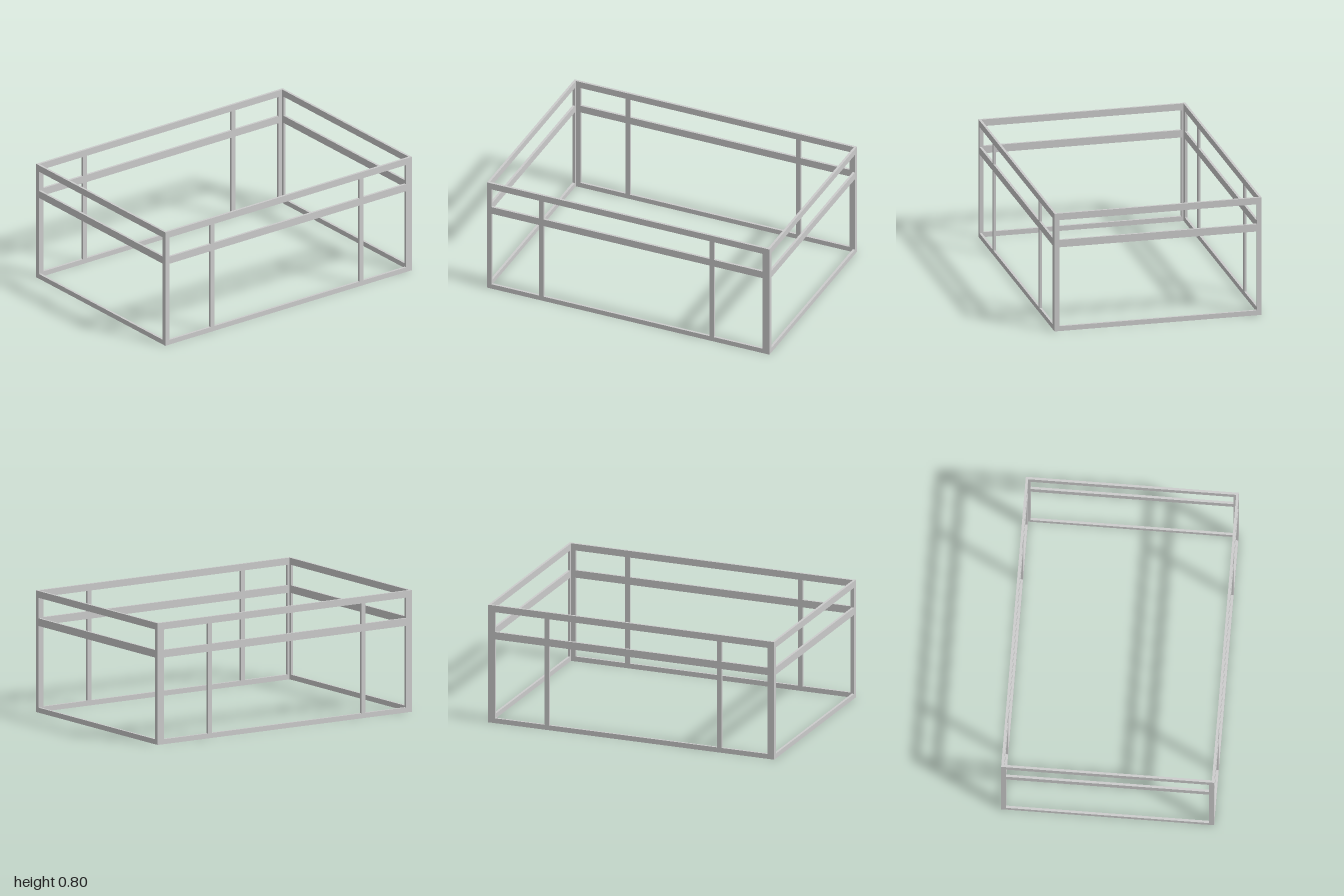
import * as THREE from 'three';

const T = 0.016;                                  // strip thickness
const HALF_X = 0.69, HALF_Z = 1, HEIGHT = 0.8;
const ROWS = [[0.033, 0.57], [0.62, 0.755]];      // openings between the rails

function rectangle(path, x0, x1, y0, y1) {
  path.moveTo(x0, y0);
  path.lineTo(x1, y0);
  path.lineTo(x1, y1);
  path.lineTo(x0, y1);
  path.closePath();
  return path;
}

// Flat frame: rails and uprights remain between a grid of openings
function makeFrame(name, half, columns, material) {
  const shape = rectangle(new THREE.Shape(), -half, half, 0, HEIGHT);
  for (const [x0, x1] of columns)
    for (const [y0, y1] of ROWS)
      shape.holes.push(rectangle(new THREE.Path(), x0, x1, y0, y1));
  const geometry = new THREE.ExtrudeGeometry(shape, { depth: T, bevelEnabled: false });
  const mesh = new THREE.Mesh(geometry, material);
  mesh.name = name;
  return mesh;
}

export function createModel() {
  const group = new THREE.Group();
  group.name = 'openFrame';
  const material = new THREE.MeshStandardMaterial({ color: 0xcccccc });

  // End frames, full width
  for (const [name, z] of [['frontFrame', HALF_Z - T], ['backFrame', -HALF_Z]]) {
    const frame = makeFrame(name, HALF_X, [[-0.658, 0.658]], material);
    frame.position.z = z;
    group.add(frame);
  }

  // Side frames, fitted between the ends, each with two inner uprights
  for (const [name, x, frontEdge] of [['leftFrame', HALF_X, 0.968], ['rightFrame', -HALF_X + T, 0.952]]) {
    const columns = [[-0.952, -0.606], [-0.574, 0.6], [0.632, frontEdge]];
    const frame = makeFrame(name, HALF_Z - T, columns, material);
    frame.rotation.y = -Math.PI / 2;
    frame.position.x = x;
    group.add(frame);
  }
  return group;
}
